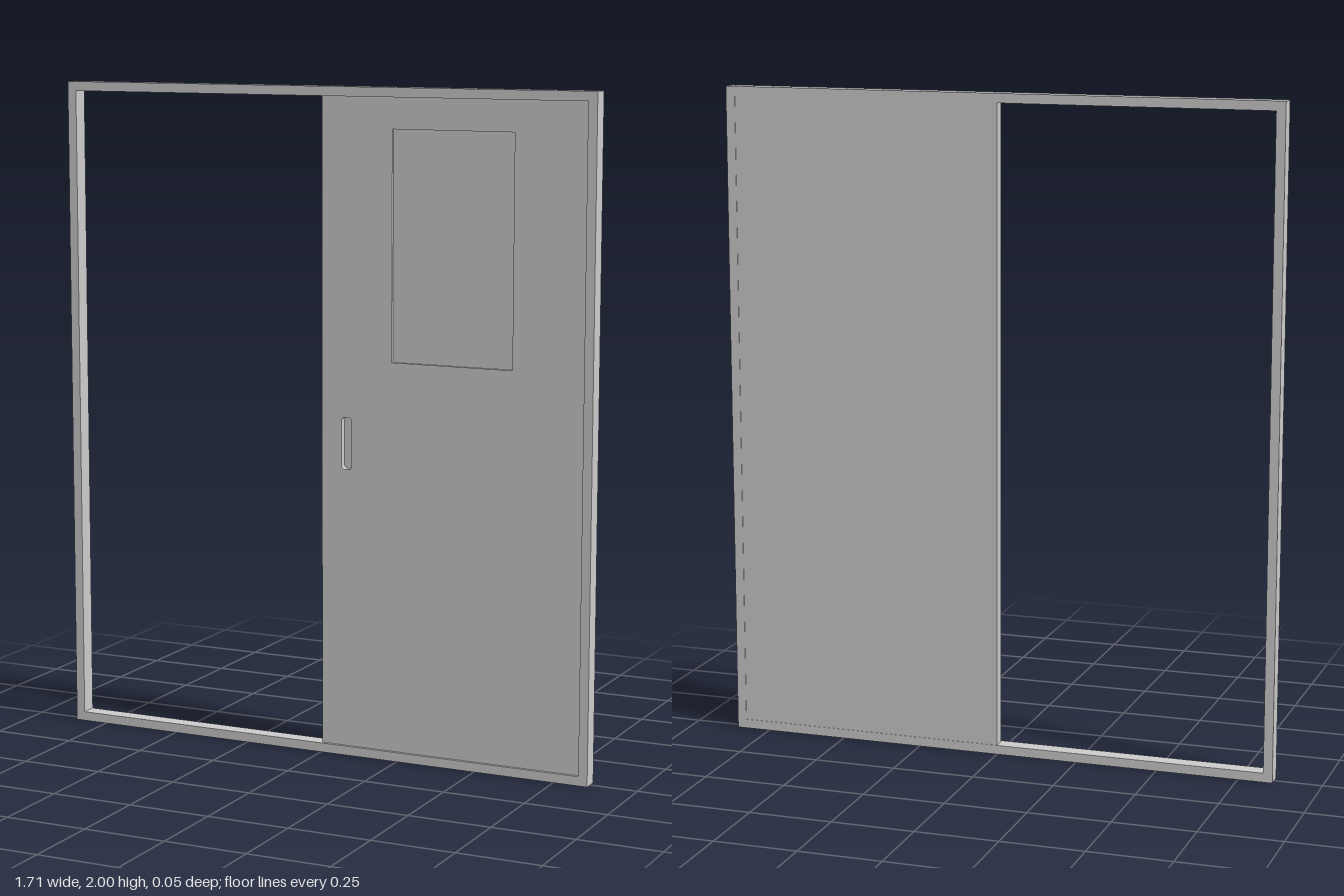
import * as THREE from 'three';

const material = new THREE.MeshStandardMaterial({ color: 0xcccccc });

function rectangle(target, x0, y0, x1, y1) {
  target.moveTo(x0, y0);
  target.lineTo(x1, y0);
  target.lineTo(x1, y1);
  target.lineTo(x0, y1);
  target.closePath();
  return target;
}

function roundedRectangle(target, x0, y0, x1, y1, r) {
  target.moveTo(x0 + r, y0);
  target.lineTo(x1 - r, y0);
  target.absarc(x1 - r, y0 + r, r, -Math.PI / 2, 0);
  target.lineTo(x1, y1 - r);
  target.absarc(x1 - r, y1 - r, r, 0, Math.PI / 2);
  target.lineTo(x0 + r, y1);
  target.absarc(x0 + r, y1 - r, r, Math.PI / 2, Math.PI);
  target.lineTo(x0, y0 + r);
  target.absarc(x0 + r, y0 + r, r, Math.PI, Math.PI * 1.5);
  return target;
}

// Flat slab spanning z0 to z1
function slab(name, shape, z0, z1) {
  const geometry = new THREE.ExtrudeGeometry(shape, { depth: z1 - z0, bevelEnabled: false, curveSegments: 6 });
  geometry.translate(0, 0, z0);
  const mesh = new THREE.Mesh(geometry, material);
  mesh.name = name;
  return mesh;
}

export function createModel() {
  const model = new THREE.Group();
  model.name = 'slidingDoor';

  const halfWidth = 0.855, height = 2, rim = 0.028, halfDepth = 0.025;
  const inner = halfWidth - rim;
  const back = -0.0235, middle = -0.005, front = 0.016;

  // Outer frame
  const frame = rectangle(new THREE.Shape(), -halfWidth, 0, halfWidth, height);
  frame.holes.push(rectangle(new THREE.Path(), -inner, rim, inner, height - rim));
  model.add(slab('frame', frame, -halfDepth, halfDepth));

  // Door leaf: solid back, front skin cut for the window and the finger pull
  const door = new THREE.Group();
  door.name = 'doorLeaf';
  const outline = () => rectangle(new THREE.Shape(), 0, rim, inner, height - rim);
  const skin = outline();
  const windowArea = [0.225, 1.2, 0.605, 1.88];
  skin.holes.push(rectangle(new THREE.Path(), ...windowArea));
  skin.holes.push(roundedRectangle(new THREE.Path(), 0.064, 0.872, 0.096, 1.028, 0.01));
  door.add(slab('doorBack', outline(), back, middle));
  door.add(slab('doorFront', skin, middle, front));

  // Window pane set slightly below the door surface
  door.add(slab('windowPane', rectangle(new THREE.Shape(), ...windowArea), middle, front - 0.009));
  model.add(door);

  return model;
}
